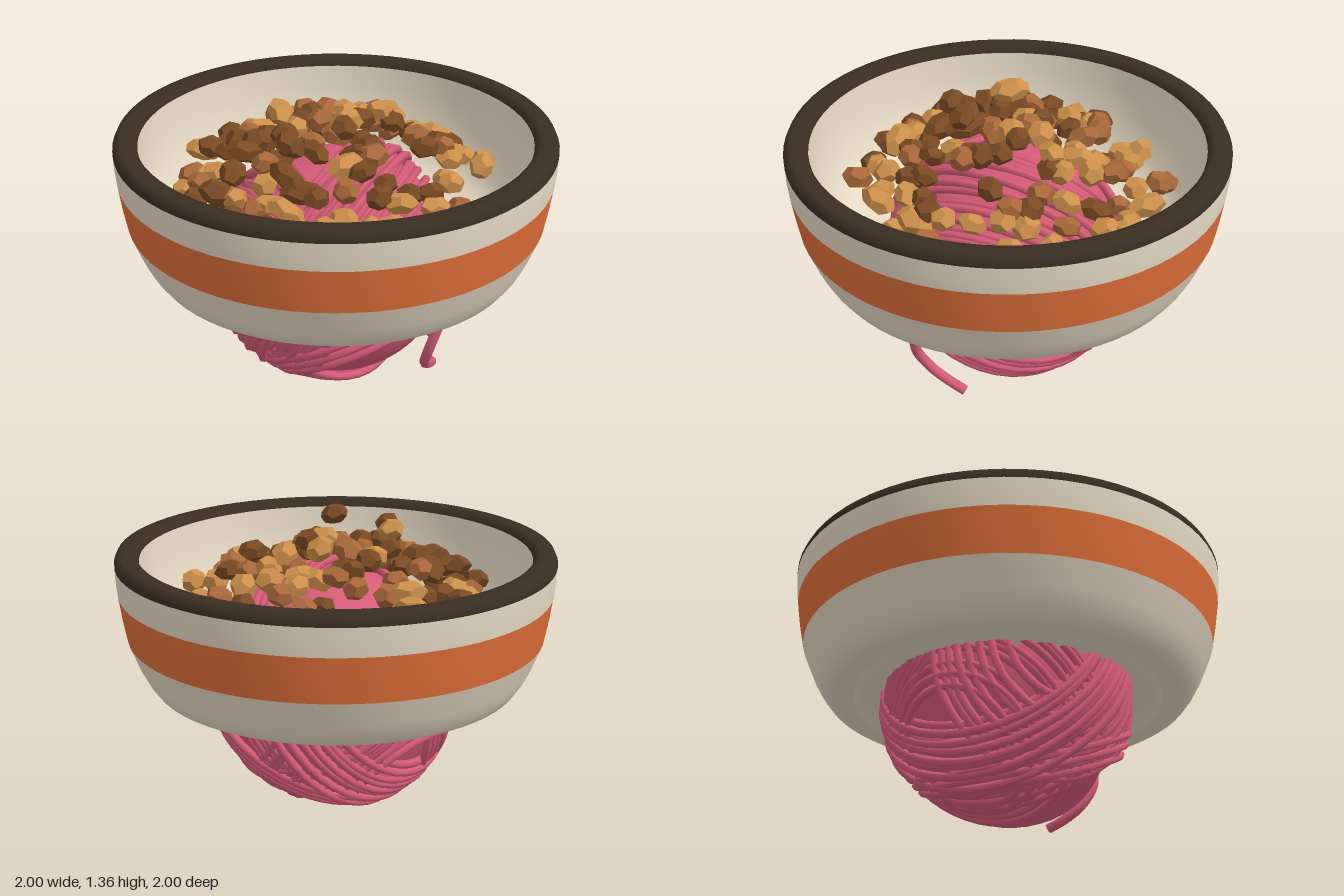
import * as THREE from 'three';

const mat = (name, color) => {
  const m = new THREE.MeshStandardMaterial({ color });
  m.name = name;
  return m;
};

// small seeded random
let seed = 7;
const rand = (a, b) => {
  seed = (seed * 16807) % 2147483647;
  return a + (b - a) * (seed / 2147483647);
};

export function createModel() {
  seed = 7;
  const cream = mat('cream glaze', 0xe8dcc6);
  const orange = mat('orange stripe', 0xe2703a);
  const rimDark = mat('dark rim', 0x3a2e22);
  const yarn = mat('pink yarn', 0xd65c78);
  const tan = mat('tan kibble', 0xcc8f4a);
  const brown = mat('brown kibble', 0xa9683a);
  const dark = mat('dark kibble', 0x7a4a24);

  const model = new THREE.Group();
  const add = (parent, name, geo, material) => {
    const mesh = new THREE.Mesh(geo, material);
    mesh.name = name;
    parent.add(mesh);
    return mesh;
  };
  const group = (name) => {
    const g = new THREE.Group();
    g.name = name;
    model.add(g);
    return g;
  };

  // bowl: lathed bands from the underside, up the wall, over the rim and down inside
  const bowl = group('bowl');
  const band = (name, material, pts) =>
    add(bowl, name, new THREE.LatheGeometry(pts.map(([x, y]) => new THREE.Vector2(x, y)), 72), material);
  band('recessedBase', cream, [[0, 0.63], [0.6, 0.63], [0.67, 0.62], [0.71, 0.594]]);
  band('lowerWall', cream, [[0.71, 0.594], [0.8, 0.595], [0.84, 0.615], [0.873, 0.66], [0.905, 0.72], [0.953, 0.84]]);
  band('stripe', orange, [[0.953, 0.84], [0.972, 0.94], [0.988, 1.05]]);
  band('upperWall', cream, [[0.988, 1.05], [0.995, 1.11], [0.998, 1.18]]);
  band('rim', rimDark, [[0.998, 1.18], [0.998, 1.2], [0.985, 1.228], [0.965, 1.233], [0.92, 1.233], [0.898, 1.225], [0.888, 1.2]]);
  band('innerWall', cream, [[0.888, 1.2], [0.88, 1.1], [0.86, 0.97], [0.81, 0.84], [0.74, 0.76], [0.62, 0.715], [0, 0.7]]);

  // ball of yarn: a smooth core wrapped in bundles of parallel strands
  const ball = group('yarnBall');
  ball.position.set(0, 0.59, 0);
  add(ball, 'core', new THREE.SphereGeometry(0.53, 48, 32), yarn);
  const zAxis = new THREE.Vector3(0, 0, 1);
  const strand = (normal, d, R) => {
    const n = normal.clone().normalize();
    const loop = add(ball, 'strand', new THREE.TorusGeometry(Math.sqrt(R * R - d * d), 0.02, 6, 48), yarn);
    loop.quaternion.setFromUnitVectors(zAxis, n);
    loop.position.copy(n).multiplyScalar(d);
  };
  const bundles = [
    // normal, first offset, last offset, radius
    [[0.38, -0.48, 0.64], -0.24, 0.22, 0.552],
    [[-0.95, 0.1, -0.2], 0.26, 0.5, 0.56],
    [[-0.25, -0.65, -0.7], 0.16, 0.53, 0.555],
    [[0.65, 0.75, 0], -0.08, 0.1, 0.56],
    [[-0.39, 0.48, -0.77], 0, 0.26, 0.575],
  ];
  for (const [n, from, to, R] of bundles) {
    for (let d = from; d <= to; d += 0.034) {
      const tilt = new THREE.Vector3(...n);
      tilt.x += rand(-0.03, 0.03);
      tilt.y += rand(-0.03, 0.03);
      strand(tilt, d, R + rand(-0.006, 0.006));
    }
  }
  // stray loops drooping round the front
  for (const d of [0.25, 0.29, 0.33]) {
    strand(new THREE.Vector3(0.1 + d / 3, -0.85, 0.4), d, 0.57);
  }

  // loose tail hanging at the front
  const tail = new THREE.CatmullRomCurve3([
    [0.14, 0.78, 0.52], [0.13, 0.62, 0.61], [0.1, 0.48, 0.61], [0.07, 0.34, 0.58],
    [0.1, 0.23, 0.52], [0.16, 0.17, 0.47], [0.23, 0.135, 0.43],
  ].map((p) => new THREE.Vector3(...p)));
  const tailGroup = group('looseTail');
  add(tailGroup, 'tailStrand', new THREE.TubeGeometry(tail, 36, 0.024, 7), yarn);
  const cap = add(tailGroup, 'tailEnd', new THREE.CircleGeometry(0.024, 7), yarn);
  cap.position.copy(tail.getPoint(1));
  cap.quaternion.setFromUnitVectors(zAxis, tail.getTangent(1));

  // kibble: faceted nuggets, some round and some long
  const nugget = new THREE.DodecahedronGeometry(1);
  const kibble = group('kibble');
  const place = (material, x, y, z, long) => {
    const piece = add(kibble, 'nugget', nugget, material);
    piece.position.set(x, y, z);
    piece.scale.set(rand(0.056, 0.066), long, rand(0.046, 0.058));
    piece.rotation.set(Math.PI / 2 + rand(-0.5, 0.5), rand(-0.4, 0.4), rand(0, Math.PI));
  };

  // domed heap scattered in a sunflower spiral, with bare patches (x, z, radius)
  const patches = [
    [0.13, 0.36, 0.14], [0.2, 0.12, 0.12], [-0.2, 0.23, 0.09], [0.05, -0.38, 0.1],
    [0.45, 0.56, 0.16], [-0.32, 0.65, 0.12], [0.05, -0.65, 0.12], [-0.66, -0.36, 0.08],
  ];
  const count = 128;
  for (let i = 0; i < count; i++) {
    const r = 0.71 * Math.sqrt((i + 0.5) / count);
    const a = i * 2.39996;
    const x = r * Math.cos(a) + rand(-0.03, 0.03);
    const z = r * Math.sin(a) + rand(-0.03, 0.03);
    if (patches.some(([px, pz, pr]) => Math.hypot(x - px, z - pz) < pr)) continue;
    // the middle and front of the heap hold more dark nuggets, the outer edge more tan ones
    const shade = rand(0, 1) + 0.2 * (z - x) + 0.4 * (0.45 - r);
    const material = shade > 0.6 ? dark : shade > 0.36 ? brown : tan;
    const long = rand(0, 1) < 0.35 ? rand(0.085, 0.105) : rand(0.06, 0.075);
    place(material, x, 1.24 - 0.55 * r * r + rand(-0.05, 0.04), z, long);
  }
  // pieces on top of the heap
  place(dark, -0.1, 1.335, 0.18, 0.066);
  place(dark, -0.32, 1.285, 0.07, 0.066);
  place(dark, 0.12, 1.275, 0.04, 0.066);
  place(tan, -0.19, 1.325, -0.16, 0.095);
  place(tan, 0.28, 1.245, -0.03, 0.07);

  return model;
}
